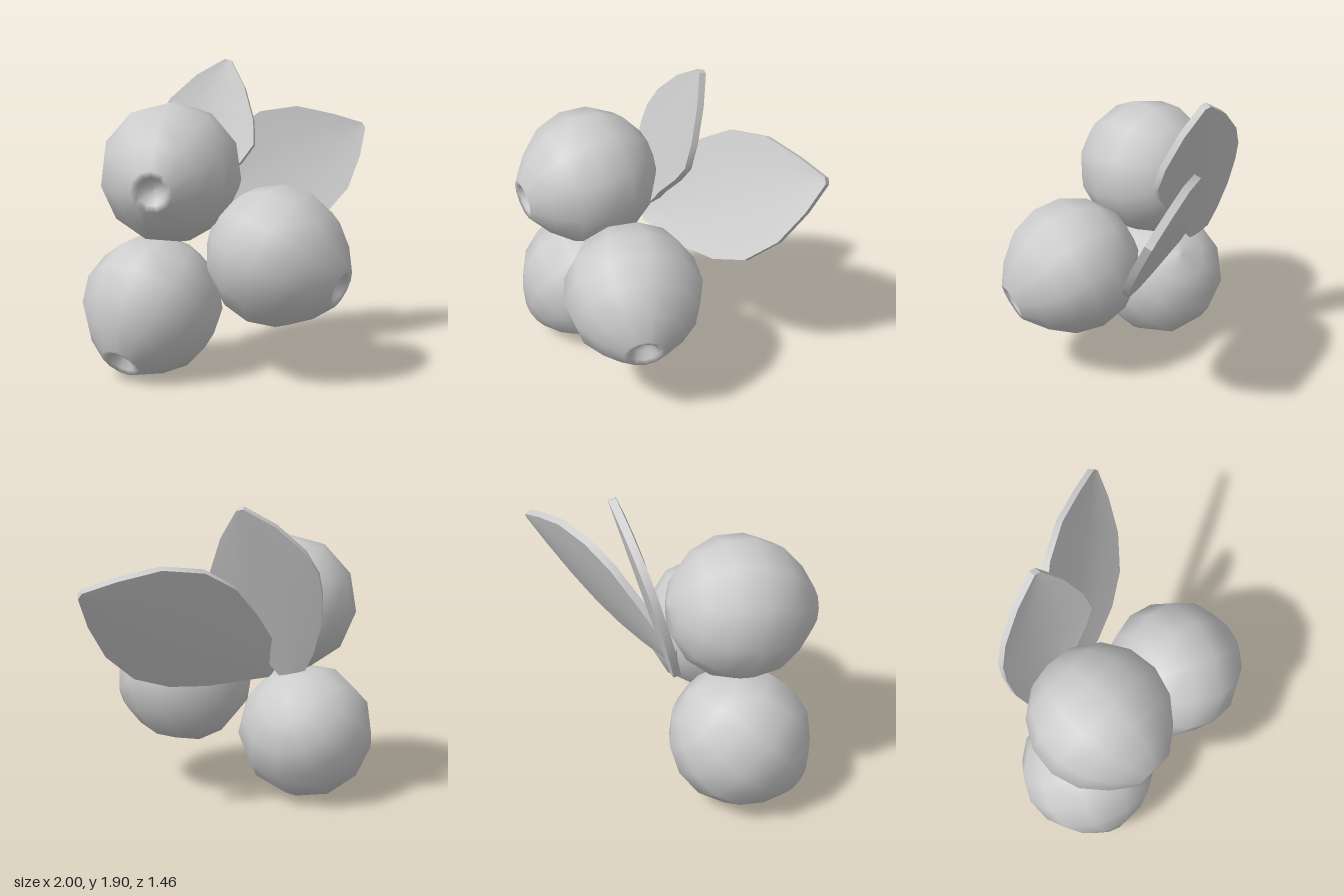
import * as THREE from 'three';
import { toCreasedNormals } from 'three/addons/utils/BufferGeometryUtils.js';

const material = new THREE.MeshStandardMaterial({ color: 0xcccccc });
const V = (x, y, z) => new THREE.Vector3(x, y, z);

// Round berry with a raised, sunken crown at its +y pole
function berryGeometry(radius) {
  const profile = [];
  for (let i = 0; i <= 6; i++) {
    const a = -Math.PI / 2 + (i * Math.PI * 0.79) / 6;
    profile.push(new THREE.Vector2(Math.max(0, Math.cos(a) * radius), Math.sin(a) * radius));
  }
  profile.push(
    new THREE.Vector2(0.125, 0.44), // crown rim
    new THREE.Vector2(0.085, 0.43),
    new THREE.Vector2(0.06, 0.38), // crown floor
    new THREE.Vector2(0, 0.37)
  );
  return new THREE.LatheGeometry(profile, 11);
}

// Thick leaf: closed cross-sections swept from base to tip.
// Each width entry is [position along, reach against "across", reach along "across"]
function leafGeometry({ base, tip, across, widths, cup, thickness }) {
  const along = tip.clone().sub(base).normalize();
  const side = across.clone().addScaledVector(along, -across.dot(along)).normalize();
  const normal = side.clone().cross(along).normalize();
  const steps = [-1, -0.5, 0, 0.5, 1];
  const loop = [
    ...steps.map((w) => [w, 0.5]),
    ...[...steps].reverse().map((w) => [w, -0.5])
  ];
  const n = loop.length;
  const positions = [];
  const index = [];

  widths.forEach(([t, minus, plus], i) => {
    for (const [w, face] of loop) {
      const reach = w * (w < 0 ? minus : plus);
      const lift = cup * Math.abs(w * reach) / 0.4 + face * thickness;
      const p = base.clone().lerp(tip, t).addScaledVector(side, reach).addScaledVector(normal, lift);
      positions.push(p.x, p.y, p.z);
    }
    if (i === 0) return;
    for (let j = 0; j < n; j++) {
      const a = (i - 1) * n + j, b = (i - 1) * n + ((j + 1) % n);
      index.push(a, b, b + n, a, b + n, a + n);
    }
  });

  // End caps
  const last = (widths.length - 1) * n;
  for (let j = 0; j < steps.length - 1; j++) {
    const k = n - 1 - j;
    index.push(j, k, k - 1, j, k - 1, j + 1);
    index.push(last + j, last + j + 1, last + k - 1, last + j, last + k - 1, last + k);
  }

  const geometry = new THREE.BufferGeometry();
  geometry.setAttribute('position', new THREE.Float32BufferAttribute(positions, 3));
  geometry.setIndex(index);
  return toCreasedNormals(geometry, 0.7);
}

export function createModel() {
  const group = new THREE.Group();
  const add = (name, geometry) => {
    const mesh = new THREE.Mesh(geometry, material);
    mesh.name = name;
    group.add(mesh);
    return mesh;
  };

  // Berries: centre and direction of the crown
  const berry = berryGeometry(0.428);
  const berries = [
    ['upperBerry', V(-0.5, 1.23, -0.18), V(-0.3, -0.06, 0.28)],
    ['frontBerry', V(-0.06, 0.745, 0.295), V(0.18, -0.155, 0.36)],
    ['lowerBerry', V(-0.58, 0.415, -0.28), V(-0.29, -0.28, 0.12)]
  ];
  for (const [name, centre, crown] of berries) {
    const mesh = add(name, berry);
    mesh.position.copy(centre);
    mesh.quaternion.setFromUnitVectors(V(0, 1, 0), crown.normalize());
  }

  // Broad leaf reaching to the side, its base running into the upright leaf
  add('sideLeaf', leafGeometry({
    base: V(-0.2, 0.9, -0.4),
    tip: V(0.99, 1.44, -0.15),
    across: V(0.07, -0.88, 0.46),
    widths: [
      [0, 0.08, 0.06], [0.1, 0.18, 0.15], [0.23, 0.28, 0.27], [0.39, 0.38, 0.37],
      [0.56, 0.4, 0.4], [0.74, 0.32, 0.32], [0.89, 0.16, 0.17], [1, 0.02, 0.02]
    ],
    cup: 0.03, thickness: 0.045
  }));

  // Upright leaf behind the berries, narrow in front where it meets the side leaf
  add('uprightLeaf', leafGeometry({
    base: V(-0.24, 0.88, -0.48),
    tip: V(0.14, 1.88, -0.49),
    across: V(0.66, 0, 0.75),
    widths: [
      [0, 0.11, 0.05], [0.1, 0.19, 0.1], [0.25, 0.27, 0.17], [0.42, 0.32, 0.28],
      [0.54, 0.33, 0.33], [0.68, 0.29, 0.28], [0.86, 0.17, 0.16], [1, 0.02, 0.02]
    ],
    cup: 0.04, thickness: 0.045
  }));

  return group;
}
